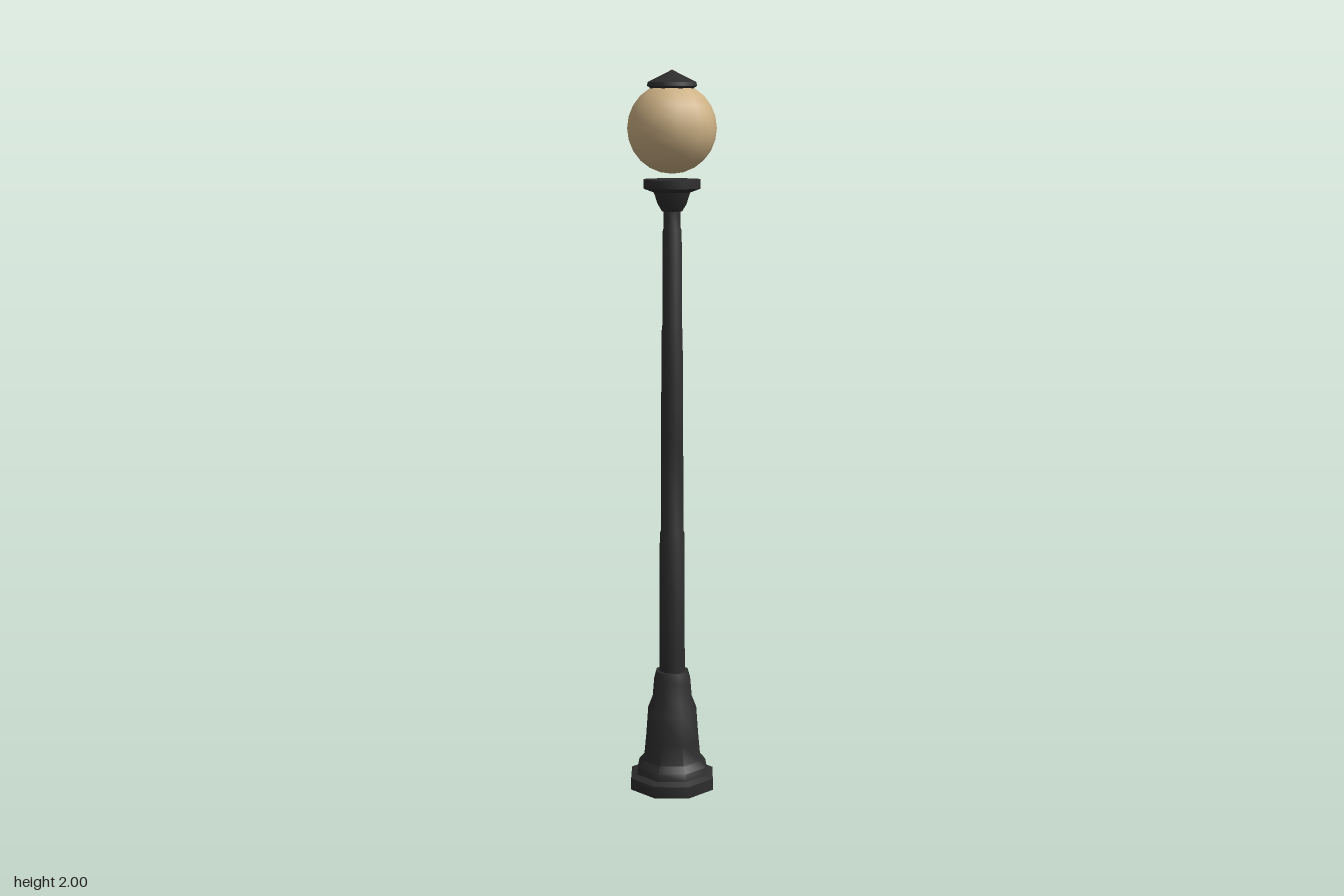
import * as THREE from 'three';
import { toCreasedNormals } from 'three/addons/utils/BufferGeometryUtils.js';

export function createModel() {
  const lamp = new THREE.Group();
  lamp.name = 'streetLamp';

  const iron = new THREE.MeshStandardMaterial({ color: 0x2d2d2d });
  iron.name = 'darkIron';
  const glass = new THREE.MeshStandardMaterial({ color: 0xcdb185 });
  glass.name = 'warmGlass';

  // Eight-sided turned part from [radius, height] pairs, bottom to top
  function turned(name, profile) {
    const points = profile.map(([r, y]) => new THREE.Vector2(r, y));
    const geometry = toCreasedNormals(new THREE.LatheGeometry(points, 8), 0.85);
    const mesh = new THREE.Mesh(geometry, iron);
    mesh.name = name;
    lamp.add(mesh);
  }

  // Stepped plinth and bell-shaped foot
  turned('base', [
    [0, 0], [0.125, 0], [0.125, 0.033], [0.106, 0.042], [0.102, 0.062],
    [0.086, 0.08], [0.08, 0.14], [0.074, 0.22], [0.06, 0.255],
    [0.055, 0.31], [0.047, 0.338], [0, 0.338],
  ]);

  // Gently stepped, tapering pole
  turned('pole', [
    [0, 0.32], [0.039, 0.32], [0.038, 0.45], [0.037, 0.73], [0.034, 0.74],
    [0.033, 1.0], [0.031, 1.3], [0.029, 1.31], [0.028, 1.57],
    [0.025, 1.58], [0.025, 1.64], [0, 1.64],
  ]);

  // Flared collar under the globe
  turned('collar', [
    [0, 1.625], [0.029, 1.625], [0.042, 1.645], [0.05, 1.668],
    [0.053, 1.676], [0.083, 1.687], [0.083, 1.71], [0, 1.71],
  ]);

  // Round glass globe
  const globe = new THREE.Mesh(new THREE.SphereGeometry(0.121, 12, 12), glass);
  globe.position.y = 1.846;
  globe.name = 'globe';
  lamp.add(globe);

  // Pointed cap
  turned('cap', [
    [0, 1.944], [0.05, 1.944], [0.072, 1.957], [0.07, 1.967],
    [0.035, 1.983], [0.018, 1.991], [0, 2],
  ]);

  return lamp;
}
